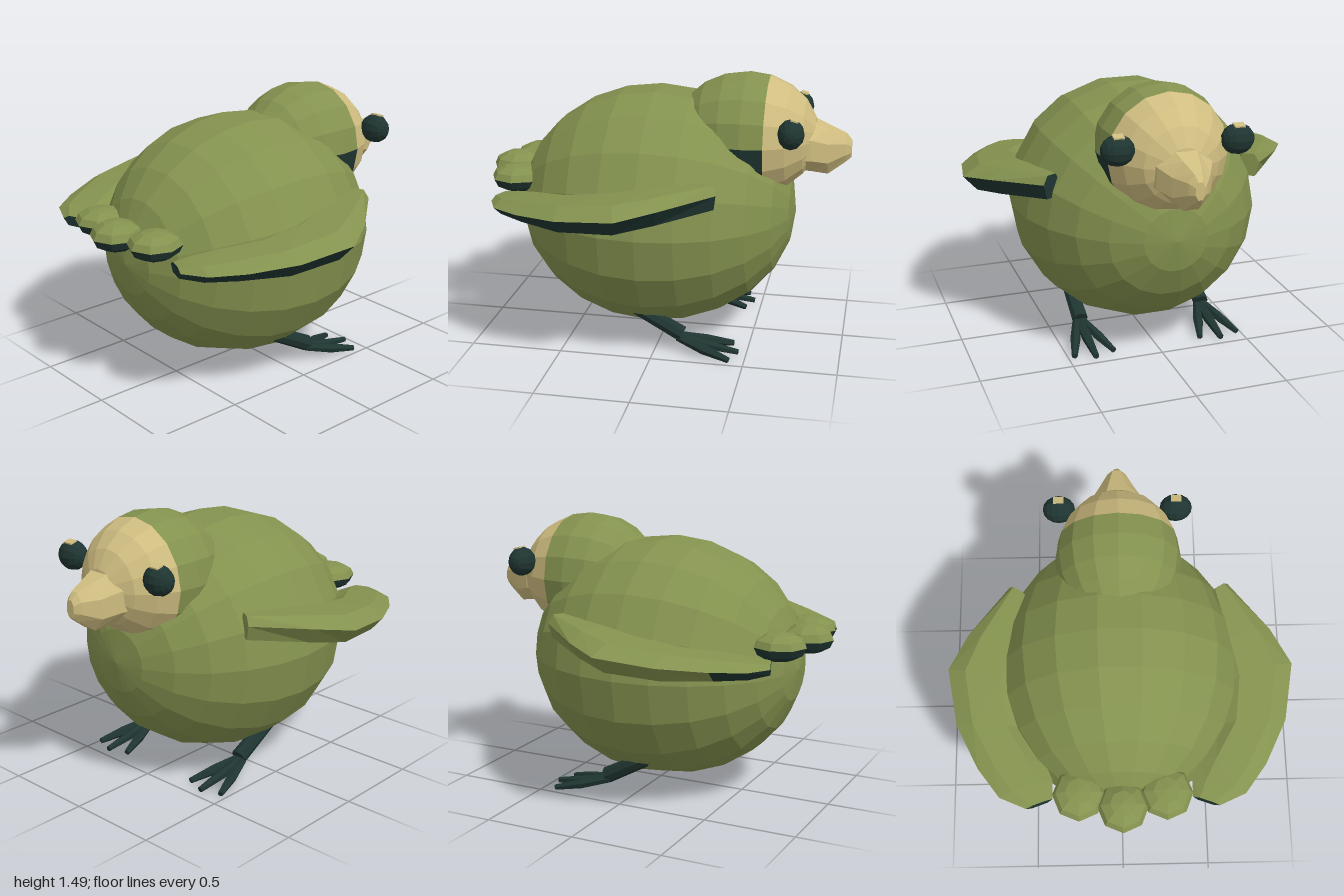
import * as THREE from 'three';

const flat = (name, color) => new THREE.MeshStandardMaterial({ name, color, flatShading: true });

// Skin through closed rings of points; pick(k, i) chooses faces, k = -1 and k = last are the end caps.
function loft(rings, pick = () => true, flip = false) {
  const out = [];
  const n = rings[0].length, last = rings.length - 1;
  const tri = (a, b, c) => out.push(...a, ...(flip ? c : b), ...(flip ? b : c));
  for (let k = 0; k < last; k++) {
    for (let i = 0; i < n; i++) {
      if (!pick(k, i)) continue;
      const j = (i + 1) % n, a = rings[k], b = rings[k + 1];
      tri(a[i], a[j], b[i]);
      tri(a[j], b[j], b[i]);
    }
  }
  for (let i = 1; i < n - 1; i++) {
    if (pick(-1, i)) tri(rings[0][0], rings[0][i + 1], rings[0][i]);
    if (pick(last, i)) tri(rings[last][0], rings[last][i], rings[last][i + 1]);
  }
  const g = new THREE.BufferGeometry();
  g.setAttribute('position', new THREE.Float32BufferAttribute(out, 3));
  g.computeVertexNormals();
  return g;
}

// Tapered rod between two points.
function rod(a, b, ra, rb, sides) {
  const p = new THREE.Vector3(...a), q = new THREE.Vector3(...b);
  const dir = q.clone().sub(p);
  const g = new THREE.CylinderGeometry(rb, ra, dir.length(), sides);
  g.applyQuaternion(new THREE.Quaternion().setFromUnitVectors(new THREE.Vector3(0, 1, 0), dir.normalize()));
  return g.translate(...p.add(q).multiplyScalar(0.5).toArray());
}

export function createModel() {
  const green = flat('oliveGreen', 0x84924f);
  const tan = flat('sandTan', 0xcfbd80);
  const dark = flat('darkTeal', 0x1f3531);

  const model = new THREE.Group();
  model.name = 'bird';
  const add = (name, geometry, material) => {
    const m = new THREE.Mesh(geometry, material);
    m.name = name;
    model.add(m);
    return m;
  };
  // Ellipsoid part with its poles along z, the first pole at the face end
  const zBall = (r, c, ...args) => new THREE.SphereGeometry(1, ...args)
    .rotateX(-Math.PI / 2).scale(...r).translate(...c);
  const PI = Math.PI;

  add('body', zBall([0.67, 0.66, 0.765], [0, 0.73, 0.05], 18, 12), green);

  // Head: face cap, green back and a dark cheek
  const hr = [0.34, 0.34, 0.39], hc = [0, 1.15, -0.435];
  add('face', zBall(hr, hc, 16, 4, 0, 2 * PI, 0, 0.4 * PI), tan);
  add('headBack', zBall(hr, hc, 12, 6, 1.5 * PI, 1.5 * PI, 0.4 * PI, 0.6 * PI), green);
  add('darkCheek', zBall(hr, hc, 4, 6, PI, 0.5 * PI, 0.4 * PI, 0.6 * PI), dark);

  // Beak, from tip to base: z, centre y, half width, half height
  const beak = [
    [-1.0, 1.095, 0.025, 0.045], [-0.97, 1.1, 0.05, 0.075], [-0.88, 1.085, 0.1, 0.125],
    [-0.79, 1.11, 0.145, 0.135], [-0.7, 1.11, 0.17, 0.13],
  ].map(([z, y, w, h]) => Array.from({ length: 8 }, (_, i) => {
    const a = (i + 0.5) * PI / 4;
    return [w * Math.cos(a) * 1.08, y + h * Math.sin(a) * 1.08, z];
  }));
  add('beak', loft(beak), tan);

  // Wing stations: outer x, outer z, inner x, inner z, edge y, rise, drop
  const stations = [
    [0.6, -0.36, 0.5, -0.3, 0.98, 0.045, 0.08],
    [0.82, -0.1, 0.52, 0, 0.95, 0.05, 0.09],
    [0.93, 0.09, 0.54, 0.2, 0.92, 0.055, 0.09],
    [0.88, 0.4, 0.52, 0.42, 0.89, 0.05, 0.08],
    [0.765, 0.635, 0.41, 0.6, 0.87, 0.04, 0.06],
    [0.65, 0.79, 0.37, 0.7, 0.86, 0.03, 0.05],
    [0.51, 0.85, 0.37, 0.8, 0.85, 0.02, 0.035],
  ];

  for (const s of [1, -1]) {
    const side = s > 0 ? 'left' : 'right';

    const rings = stations.map(([ox, oz, ix, iz, y, up, down]) => {
      const at = (t, dy) => [s * (ox + (ix - ox) * t), y + dy, oz + (iz - oz) * t];
      return [at(0, 0), at(0.25, up), at(0.75, up), at(1, 0), at(0.8, -down), at(0.2, -down)];
    });
    // The right wing keeps its green along the front outer edge
    const isGreen = (k, i) => (k >= 0 && k < 6 && i < 3) || (s < 0 && (k === -1 || (k < 4 && i === 5)));
    add(side + 'WingTop', loft(rings, isGreen, s < 0), green);
    add(side + 'WingUnderside', loft(rings, (k, i) => !isGreen(k, i), s < 0), dark);

    // Eye with a small light patch on top
    add(side + 'Eye', new THREE.SphereGeometry(1, 12, 8).rotateZ(PI / 2)
      .scale(0.087, 0.08, 0.07).translate(s * 0.315, 1.24, -0.7), dark);
    add(side + 'EyeGlint', new THREE.BoxGeometry(0.055, 0.008, 0.042)
      .rotateX(-0.25).translate(s * 0.315, 1.315, -0.717), tan);

    // Leg and three toes
    add(side + 'Leg', rod([s * 0.36, 0.24, 0.11], [s * 0.36, 0.1, -0.15], 0.04, 0.045, 8), dark);
    for (const t of [-1, 0, 1]) {
      const z = t ? -0.42 : -0.46;
      const start = [s * 0.36 + t * 0.015, 0.085, -0.13];
      const mid = [s * 0.36 + t * 0.065, 0.048, -0.28];
      const end = [s * 0.36 + t * 0.11, 0.019, z];
      add(side + 'Toe', rod(start, mid, 0.022, 0.028, 6), dark);
      add(side + 'ToeTip', rod(mid, end, 0.028, 0.016, 6), dark);
    }
  }

  // Tail: three rounded tufts, green above and dark below
  for (const [x, z, w, l, up] of [[0, 0.86, 0.135, 0.14, 0.08], [0.23, 0.79, 0.14, 0.145, 0.07], [-0.23, 0.79, 0.14, 0.145, 0.07]]) {
    const half = (start, h) => new THREE.SphereGeometry(1, 8, 3, 0, 2 * PI, start, PI / 2)
      .scale(w, h, l).translate(x, 0.905, z);
    add('tailTuftTop', half(0, up), green);
    add('tailTuftUnderside', half(PI / 2, 0.08), dark);
  }

  return model;
}
